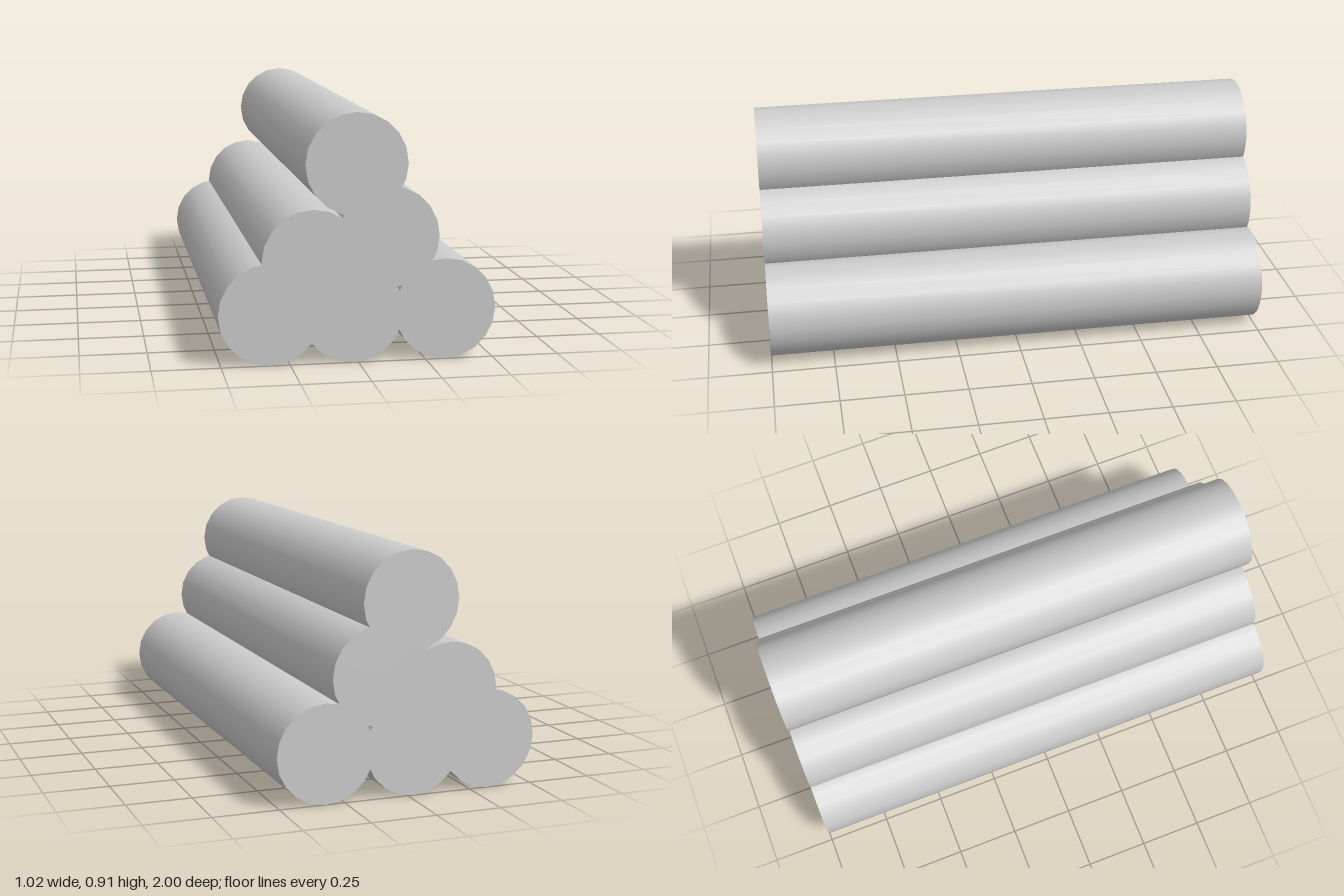
import * as THREE from 'three';

const RADIUS = 0.187;
const LENGTH = 2;

// Log centres in the x-y plane, bottom row first
const LOGS = [
  ['bottomLogRight', -0.323, 0.187],
  ['bottomLogMiddle', -0.02, 0.187],
  ['bottomLogLeft', 0.322, 0.187],
  ['middleLogRight', -0.165, 0.378],
  ['middleLogLeft', 0.11, 0.458],
  ['topLog', -0.007, 0.725],
];

export function createModel() {
  const group = new THREE.Group();
  group.name = 'logPile';
  const material = new THREE.MeshStandardMaterial({ color: 0xcccccc });

  // One 20-sided log lying along z, shared by the whole pile
  const logGeometry = new THREE.CylinderGeometry(RADIUS, RADIUS, LENGTH, 20);
  logGeometry.rotateX(Math.PI / 2);

  for (const [name, x, y] of LOGS) {
    const log = new THREE.Mesh(logGeometry, material);
    log.name = name;
    log.position.set(x, y, 0);
    group.add(log);
  }
  return group;
}
